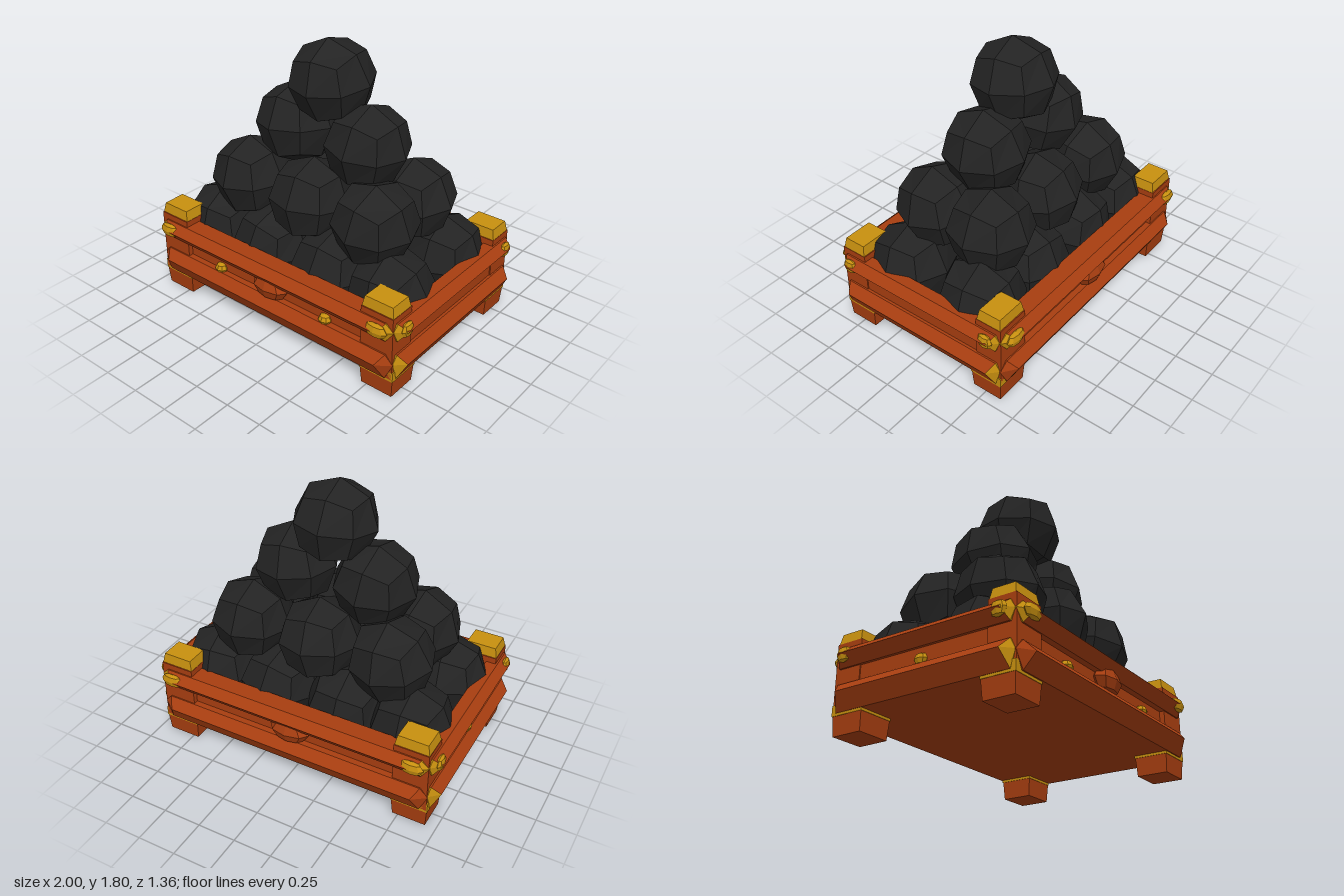
import * as THREE from 'three';

const mat = (name, color) => {
  const m = new THREE.MeshStandardMaterial({ color });
  m.name = name;
  return m;
};

// Faceted normals
function facet(geo) {
  const g = geo.index ? geo.toNonIndexed() : geo;
  g.computeVertexNormals();
  return g;
}

// Box whose top and bottom can differ in size, standing on y = 0
function taperBox(w, h, d, bottom = 1, top = 1) {
  const g = new THREE.BoxGeometry(w, h, d).translate(0, h / 2, 0);
  const p = g.attributes.position;
  for (let i = 0; i < p.count; i++) {
    const s = p.getY(i) > h / 2 ? top : bottom;
    p.setX(i, p.getX(i) * s);
    p.setZ(i, p.getZ(i) * s);
  }
  return facet(g);
}

// Rounded-off cube: each face split in four and pushed out to a sphere
function ballGeometry(r) {
  const g = new THREE.BoxGeometry(1, 1, 1, 2, 2, 2);
  const p = g.attributes.position;
  const v = new THREE.Vector3();
  for (let i = 0; i < p.count; i++) {
    v.fromBufferAttribute(p, i).setLength(r);
    p.setXYZ(i, v.x, v.y, v.z);
  }
  return facet(g);
}

// Ridged rail along x facing +z with pointed ends; group 0 = body, group 1 = ends
function railGeometry({ y0, yp, y1, dIn, dTop, dPeak, tip, end, peakEnd }) {
  const ring = [[y0, dIn, end], [y0, dTop, end], [yp, dPeak, peakEnd], [y1, dTop, end], [y1, dIn, end]];
  const at = (i, s) => [s * ring[i % 5][2], ring[i % 5][0], ring[i % 5][1]];
  const apex = (s) => [s * tip, yp, dTop - 0.01];
  const body = [], ends = [];
  for (let i = 0; i < 5; i++) {
    const j = i + 1;
    body.push(...at(i, -1), ...at(i, 1), ...at(j, 1), ...at(i, -1), ...at(j, 1), ...at(j, -1));
    ends.push(...apex(1), ...at(j, 1), ...at(i, 1), ...apex(-1), ...at(i, -1), ...at(j, -1));
  }
  const g = new THREE.BufferGeometry();
  g.setAttribute('position', new THREE.Float32BufferAttribute([...body, ...ends], 3));
  g.addGroup(0, body.length / 3, 0);
  g.addGroup(body.length / 3, ends.length / 3, 1);
  return facet(g);
}

export function createModel() {
  const model = new THREE.Group();
  const wood = mat('wood', 0xa83e10);
  const gold = mat('gold', 0xc8900f);
  const iron = mat('iron', 0x232323);
  const lining = mat('lining', 0x4a0c0e);

  const add = (name, geo, material, x = 0, y = 0, z = 0) => {
    const m = new THREE.Mesh(geo, material);
    m.name = name;
    m.position.set(x, y, z);
    model.add(m);
    return m;
  };

  // Floor and lining
  add('floor', new THREE.BoxGeometry(1.84, 0.07, 1.2), wood, 0, 0.165, 0);
  add('floorLining', new THREE.BoxGeometry(1.74, 0.02, 1.04), lining, 0, 0.21, 0);

  // Wall panels
  for (const s of [1, -1]) {
    add('longPanel', new THREE.BoxGeometry(1.8, 0.34, 0.07), wood, 0, 0.32, s * 0.55);
    add('endPanel', new THREE.BoxGeometry(0.055, 0.34, 1.1), wood, s * 0.9, 0.32, 0);
  }

  // Corner posts with feet, bands and caps
  const foot = taperBox(0.235, 0.13, 0.215, 0.92, 1);
  const band = taperBox(0.24, 0.065, 0.22);
  const post = taperBox(0.225, 0.42, 0.18);
  const cap = taperBox(0.225, 0.075, 0.17, 1, 0.86);
  for (const sx of [1, -1]) for (const sz of [1, -1]) {
    add('foot', foot, wood, sx * 0.822, 0, sz * 0.507);
    add('footBand', band, gold, sx * 0.822, 0.115, sz * 0.507);
    add('cornerPost', post, wood, sx * 0.822, 0.13, sz * 0.527);
    add('postCap', cap, gold, sx * 0.822, 0.54, sz * 0.527);
  }

  // Ridged rails around the crate
  const lower = { y0: 0.13, yp: 0.235, y1: 0.295 };
  const upper = { y0: 0.39, yp: 0.46, y1: 0.51 };
  const long = { dIn: 0.51, dTop: 0.625, dPeak: 0.68, tip: 0.94, end: 0.89, peakEnd: 0.85 };
  const short = { dIn: 0.87, dTop: 0.945, dPeak: 1.0, tip: 0.61, end: 0.585, peakEnd: 0.55 };
  for (let k = 0; k < 4; k++) {
    const isLong = k % 2 === 0;
    const side = isLong ? long : short;
    const low = add('lowerRail', railGeometry({ ...lower, ...side }), [wood, isLong ? wood : gold]);
    const up = add('upperRail', railGeometry({ ...upper, ...side }), [wood, gold]);
    low.rotation.y = up.rotation.y = k * Math.PI / 2;
  }

  // Rail studs near the corners
  const knob = facet(new THREE.SphereGeometry(1, 8, 4));
  for (const sx of [1, -1]) for (const sz of [1, -1]) {
    add('longRailStud', knob, gold, sx * 0.84, 0.46, sz * 0.652).scale.set(0.08, 0.047, 0.03);
    add('endRailStud', knob, gold, sx * 0.972, 0.46, sz * 0.53).scale.set(0.025, 0.05, 0.055);
  }

  // Central bosses on the long sides, and small panel studs
  for (const s of [1, -1]) {
    add('boss', knob, wood, 0, 0.36, s * 0.6).scale.set(0.135, 0.083, 0.07);
    add('panelStud', knob, gold, s * 0.43, 0.31, 0.595).scale.set(0.045, 0.036, 0.04);
  }
  add('endPanelStud', knob, gold, -0.93, 0.32, 0).scale.set(0.03, 0.038, 0.045);

  // Stacked balls: [height, x positions, z positions]
  const layers = [
    [0.445, [-0.675, -0.24, 0.24, 0.675], [-0.275, 0.275]],
    [0.81, [-0.49, 0, 0.49], [-0.2, 0.2]],
    [1.18, [-0.275, 0.275], [0]],
    [1.53, [0], [0]],
  ];
  const ball = ballGeometry(0.272);
  let n = 0;
  for (const [y, xs, zs] of layers) for (const x of xs) for (const z of zs) {
    const b = add('ball', ball, iron, x, y, z);
    b.rotation.set(0.12 * Math.sin(n * 2.1), 0.08 * Math.sin(n * 1.3), 0.1 * Math.sin(n * 3.7));
    n++;
  }
  return model;
}
